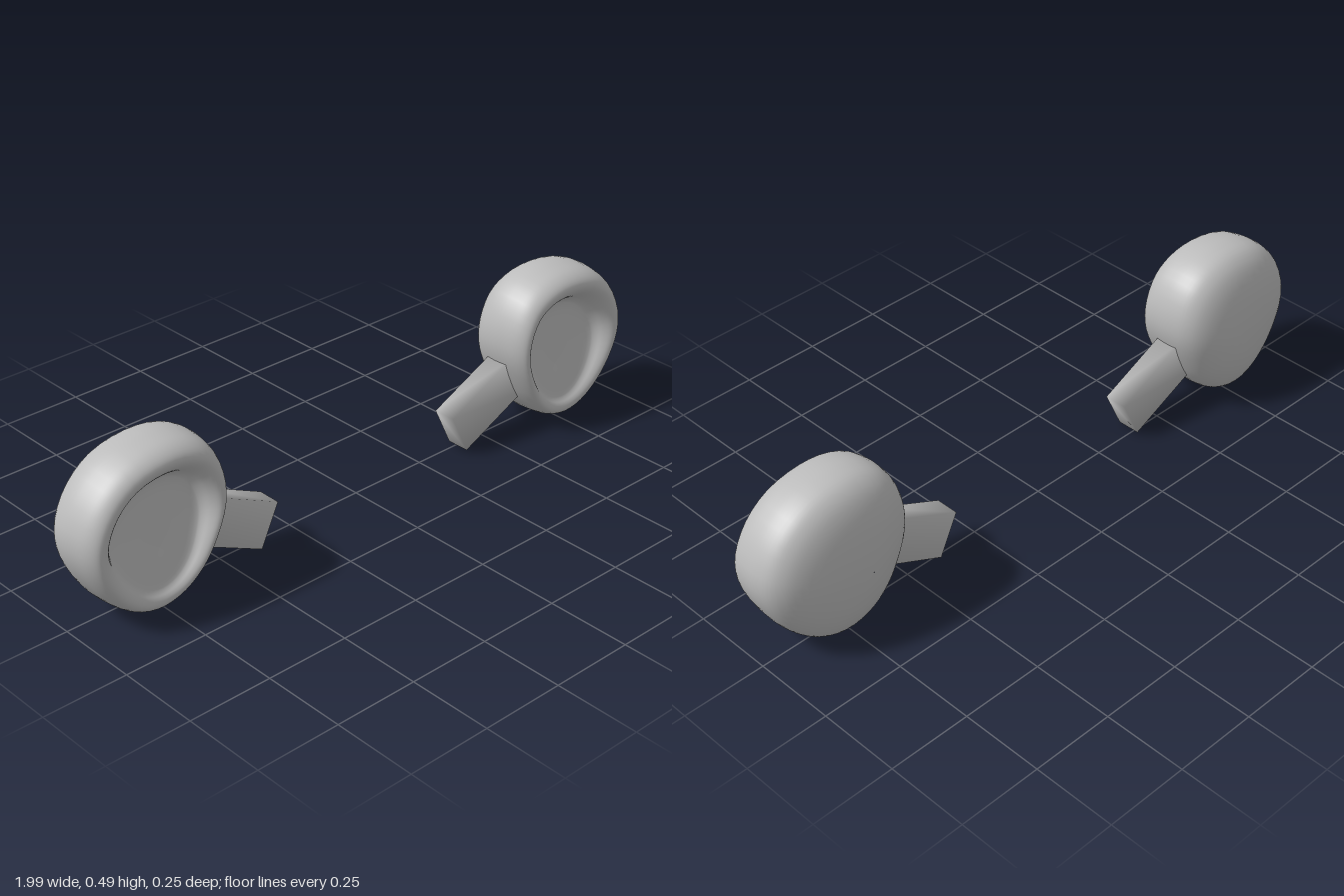
import * as THREE from 'three';
import { mergeVertices } from 'three/addons/utils/BufferGeometryUtils.js';

const SEG = 48;
const CENTRE = [0.765, 0.25];

// Front outline of the ear, clockwise from the top
const OUTLINE = [
  [0.746, 0.488], [0.863, 0.463], [0.944, 0.4], [0.991, 0.31], [0.994, 0.232], [0.963, 0.147],
  [0.909, 0.07], [0.84, 0.017], [0.767, 0.001], [0.69, 0.023], [0.621, 0.082], [0.57, 0.17],
  [0.538, 0.267], [0.543, 0.353], [0.583, 0.434], [0.65, 0.475],
];

// Cross-section from the domed back, around the side, over the rim and into the bowl: [scale, z, tilt]
const SECTION = [
  [0.001, -0.126, 0], [0.2, -0.124, 0], [0.4, -0.118, 0], [0.6, -0.107, 0], [0.8, -0.086, 0],
  [0.92, -0.06, 0], [0.98, -0.03, 0], [1, 0.01, 0], [0.99, 0.05, 0], [0.97, 0.08, 0],
  [0.935, 0.102, 0], [0.885, 0.117, 0], [0.83, 0.121, 0], [0.77, 0.115, 0.02], [0.71, 0.1, 0.07],
  [0.66, 0.083, 0.13], [0.6, 0.072, 0.17], [0.4, 0.068, 0.18], [0.2, 0.068, 0.18], [0.001, 0.068, 0.18],
];

function earGeometry(side) {
  const curve = new THREE.CatmullRomCurve3(OUTLINE.map(([x, y]) => new THREE.Vector3(x, y, 0)), true);
  const loop = curve.getPoints(SEG).slice(0, SEG);
  const section = new THREE.CatmullRomCurve3(SECTION.map((p) => new THREE.Vector3(...p))).getPoints(57);
  const positions = [], index = [];
  for (const { x: s, y: z, z: tilt } of section) {
    // the back dome peaks towards the stalk; the bowl sits low, its floor rising towards the bottom
    const front = z > 0;
    const [sx, sy] = front ? [-0.02, -0.075] : [-0.05, -0.025];
    for (const p of loop) {
      const dx = (p.x - CENTRE[0]) * s, dy = (p.y - CENTRE[1]) * s;
      // the lower rim curls back slightly
      const curl = front ? 0.3 * Math.min(0, dy) ** 2 : 0;
      positions.push(
        side * (CENTRE[0] + sx * (1 - s) + dx),
        CENTRE[1] + sy * (1 - s) + dy,
        z - tilt * dy - curl,
      );
    }
  }
  for (let r = 0; r < section.length - 1; r++) {
    for (let j = 0; j < SEG; j++) {
      const k = (j + 1) % SEG;
      const a = r * SEG + j, b = r * SEG + k, c = a + SEG, d = b + SEG;
      if (side > 0) index.push(a, c, b, b, c, d);
      else index.push(a, b, c, b, d, c);
    }
  }
  const geometry = new THREE.BufferGeometry();
  geometry.setAttribute('position', new THREE.Float32BufferAttribute(positions, 3));
  geometry.setIndex(index);
  geometry.computeVertexNormals();
  return geometry;
}

// Softly shaded rectangular stalk, running from its free end into the ear
function stalkGeometry() {
  const length = 0.265;
  const box = new THREE.BoxGeometry(0.139, length, 0.072).translate(0, length / 2, 0);
  box.deleteAttribute('normal');
  box.deleteAttribute('uv');
  const geometry = mergeVertices(box);
  geometry.computeVertexNormals();
  return geometry;
}

export function createModel() {
  const model = new THREE.Group();
  model.name = 'earPair';
  const grey = new THREE.MeshStandardMaterial({ color: 0xbcbcbc });
  grey.name = 'plainGrey';

  for (const side of [1, -1]) {
    const group = new THREE.Group();
    group.name = side > 0 ? 'leftEar' : 'rightEar';

    const ear = new THREE.Mesh(earGeometry(side), grey);
    ear.name = 'earCup';

    const stalk = new THREE.Mesh(stalkGeometry(), grey);
    stalk.name = 'earStalk';
    stalk.position.set(side * 0.363, 0.071, 0.016);
    stalk.rotation.z = -side * 1.126;

    group.add(ear, stalk);
    model.add(group);
  }
  return model;
}
